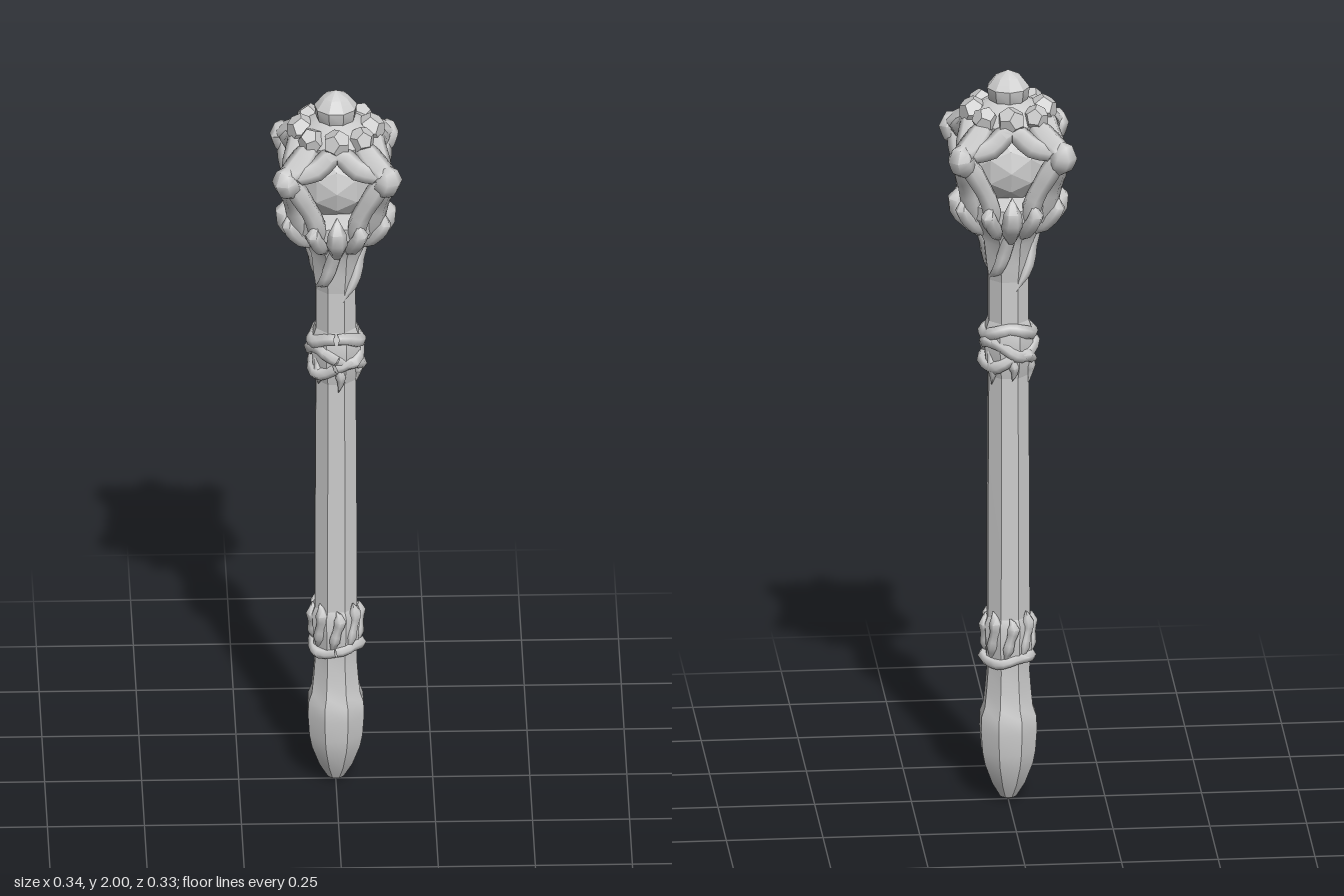
import * as THREE from 'three';
import { toCreasedNormals } from 'three/addons/utils/BufferGeometryUtils.js';

export function createModel() {
  const model = new THREE.Group();
  const stone = new THREE.MeshStandardMaterial({ color: 0xcccccc });
  stone.name = 'pale stone';
  const V = (x, y, z) => new THREE.Vector3(x, y, z);
  // point at an angle, height and distance from the axis
  const polar = (a, r, y) => V(Math.sin(a) * r, y, Math.cos(a) * r);

  function add(name, geometry, crease = 0.5) {
    const mesh = new THREE.Mesh(toCreasedNormals(geometry, crease), stone);
    mesh.name = name;
    model.add(mesh);
    return mesh;
  }

  // faceted turned part from [radius, height] pairs, a flat facing the front
  function turned(name, profile, sides = 8) {
    const points = profile.map(([r, y]) => new THREE.Vector2(r, y));
    const geo = new THREE.LatheGeometry(points, sides);
    geo.rotateY(Math.PI / sides);
    return add(name, geo);
  }

  // organic limb along a curve whose thickness follows a list of radii
  function limb(name, points, radii, segments = 8, sides = 6) {
    const curve = new THREE.CatmullRomCurve3(points);
    const geo = new THREE.TubeGeometry(curve, segments, 1, sides);
    const pos = geo.attributes.position;
    const v = V(0, 0, 0);
    for (let i = 0; i < pos.count; i++) {
      const t = Math.floor(i / (sides + 1)) / segments;
      const k = t * (radii.length - 1);
      const j = Math.min(Math.floor(k), radii.length - 2);
      const r = THREE.MathUtils.lerp(radii[j], radii[j + 1], k - j);
      const c = curve.getPointAt(t);
      v.fromBufferAttribute(pos, i).sub(c).multiplyScalar(r).add(c);
      pos.setXYZ(i, v.x, v.y, v.z);
    }
    return add(name, geo, 1.15);
  }

  // rough-cut bead
  function bead(name, p, r, sy) {
    const mesh = add(name, new THREE.DodecahedronGeometry(r), 0.3);
    mesh.position.copy(p);
    mesh.scale.y = sy;
    mesh.rotation.set(p.z * 3, p.x * 17 + p.z * 11, 0);
  }

  // closed wavy band around the shaft
  function band(name, y, r, thick, wave, phase) {
    const pts = [];
    for (let i = 0; i <= 16; i++) {
      const a = (i / 16) * Math.PI * 2;
      pts.push(polar(a, r + 0.004 * Math.sin(a * 5 + phase), y + wave * Math.sin(a * 2 + phase)));
    }
    limb(name, pts, [thick, thick * 1.3, thick, thick * 1.3, thick], 24, 6);
  }

  // pommel and shaft
  turned('pommel', [[0, 0], [0.022, 0.01], [0.046, 0.05], [0.067, 0.105], [0.074, 0.14], [0.078, 0.195],
    [0.077, 0.235], [0.067, 0.262], [0.062, 0.31], [0.058, 0.36], [0.06, 0.4]]);
  turned('shaft', [[0.059, 0.38], [0.058, 0.8], [0.056, 1.15], [0.055, 1.44], [0.055, 1.55]]);

  // lower collar: ring with upright leaves
  band('lowerCollarRing', 0.395, 0.058, 0.013, 0.008, 0);
  turned('lowerCollar', [[0.058, 0.38], [0.062, 0.4], [0.064, 0.44], [0.067, 0.49], [0.056, 0.515]]);
  for (let i = 0; i < 8; i++) {
    const a = (i / 8) * Math.PI * 2;
    limb('lowerCollarLeaf', [polar(a - 0.2, 0.056, 0.4), polar(a, 0.058, 0.45),
      polar(a + 0.15, 0.06, 0.49), polar(a, 0.06, 0.515 + 0.015 * (i % 2))],
    [0.004, 0.016, 0.013, 0.018, 0.001]);
  }

  // upper collar: crossing twisted bands
  turned('upperCollar', [[0.056, 1.17], [0.063, 1.2], [0.068, 1.25], [0.067, 1.29], [0.056, 1.32]]);
  band('upperCollarBand', 1.215, 0.057, 0.016, 0.018, 0.4);
  band('upperCollarBand', 1.25, 0.058, 0.016, 0.02, 3.4);
  band('upperCollarBand', 1.292, 0.057, 0.016, 0.013, 1.5);
  for (let i = 0; i < 6; i++) {
    const a = (i / 6) * Math.PI * 2;
    limb('upperCollarLeaf', [polar(a, 0.06, 1.24), polar(a + 0.2, 0.058, 1.19),
      polar(a + 0.1, 0.056, 1.15 + 0.015 * (i % 2))], [0.005, 0.015, 0.001]);
  }

  // flared neck wrapped in roots, opening into the cup
  turned('neck', [[0.053, 1.42], [0.062, 1.48], [0.069, 1.54], [0.085, 1.575], [0.115, 1.615],
    [0.118, 1.65], [0.06, 1.67], [0, 1.67]]);
  for (let i = 0; i < 4; i++) {
    const a = (i / 4) * Math.PI * 2 + 0.3;
    limb('neckRoot', [polar(a, 0.052, 1.41 + 0.03 * (i % 2)), polar(a + 0.7, 0.055, 1.47),
      polar(a + 1.1, 0.058, 1.53), polar(a + 1.3, 0.082, 1.59)], [0.003, 0.016, 0.02, 0.019, 0.01]);
  }

  // orb held in the head
  const orb = add('orb', new THREE.IcosahedronGeometry(0.105, 1), 0.3);
  orb.position.set(0, 1.75, 0);

  // four sides of the head
  for (let i = 0; i < 4; i++) {
    const a = (i / 4) * Math.PI * 2;
    const c = a + Math.PI / 4;
    // cup petals: a large one per side with a smaller one on each flank
    limb('cupPetal', [polar(a, 0.066, 1.545), polar(a, 0.1, 1.59), polar(a, 0.135, 1.64),
      polar(a, 0.118, 1.69)], [0.006, 0.022, 0.028, 0.024, 0.001]);
    for (const s of [-1, 1]) {
      limb('cupLeaf', [polar(a + s * 0.4, 0.07, 1.56), polar(a + s * 0.44, 0.108, 1.6),
        polar(a + s * 0.46, 0.138, 1.645), polar(a + s * 0.4, 0.122, 1.672)],
      [0.005, 0.019, 0.022, 0.02, 0.001]);
      // claw legs, two to a corner
      limb('clawLeg', [polar(c + s * 0.34, 0.098, 1.6), polar(c + s * 0.27, 0.12, 1.68),
        polar(c + s * 0.12, 0.15, 1.75), polar(c, 0.178, 1.81)], [0.018, 0.027, 0.025, 0.028, 0.024]);
    }
    limb('claw', [polar(c, 0.15, 1.75), polar(c, 0.178, 1.788), polar(c, 0.187, 1.815),
      polar(c, 0.165, 1.842)], [0.006, 0.034, 0.037, 0.002], 8, 7);
    // ridge from the claw to the crown
    limb('ridge', [polar(c, 0.178, 1.81), polar(c, 0.13, 1.835), polar(c, 0.075, 1.885)],
      [0.032, 0.037, 0.034, 0.012]);
    // pointed arch over the orb
    limb('arch', [polar(a - Math.PI / 4, 0.17, 1.81), polar(a - 0.46, 0.122, 1.825),
      polar(a, 0.098, 1.865), polar(a + 0.46, 0.122, 1.825), polar(a + Math.PI / 4, 0.17, 1.81)],
    [0.024, 0.03, 0.026, 0.03, 0.024], 12);
    // crown beads
    bead('crownBead', polar(a, 0.09, 1.89), 0.038, 1.05);
    bead('crownBead', polar(c, 0.093, 1.888), 0.034, 1.1);
  }

  // crown dome and finial
  turned('crown', [[0, 1.825], [0.09, 1.835], [0.1, 1.87], [0.08, 1.905], [0.04, 1.925], [0, 1.93]], 12);
  turned('finial', [[0.036, 1.9], [0.052, 1.925], [0.056, 1.955], [0.034, 1.983], [0, 2]], 9);
  return model;
}
